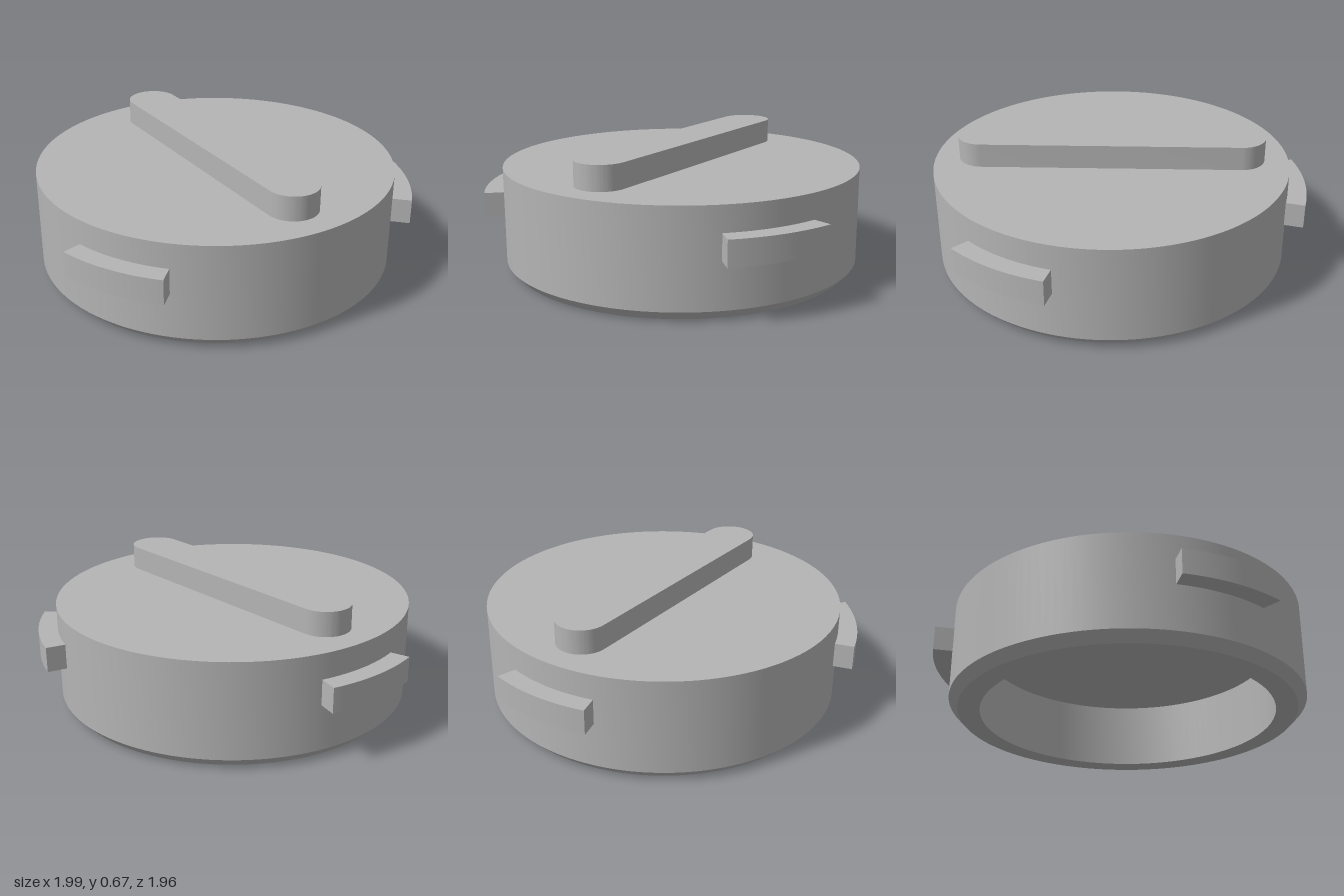
import * as THREE from 'three';
import { toCreasedNormals } from 'three/addons/utils/BufferGeometryUtils.js';

const R = 0.933, TOP = 0.545, CENTRE_Z = 0.047;

export function createModel() {
  const grey = new THREE.MeshStandardMaterial({ color: 0xb4b4b4 });
  grey.name = 'grey';
  const cap = new THREE.Group();
  cap.name = 'cap';
  cap.position.z = CENTRE_Z;

  const add = (name, geometry) => {
    const mesh = new THREE.Mesh(toCreasedNormals(geometry, 0.5), grey);
    mesh.name = name;
    cap.add(mesh);
    return mesh;
  };
  // Extrude a plan shape upwards from y0 to y1 (shape +y points to the back)
  const slab = (shape, y0, y1) =>
    new THREE.ExtrudeGeometry(shape, { depth: y1 - y0, bevelEnabled: false, curveSegments: 24 })
      .rotateX(-Math.PI / 2).translate(0, y0, 0);

  // Hollow body: recess ceiling, inner wall, rim, chamfer, outer wall, top
  const profile = [
    [0, 0.36], [0.772, 0.36], [0.772, 0], [0.886, 0], [R, 0.05], [R, TOP], [0, TOP],
  ].map(([x, y]) => new THREE.Vector2(x, y));
  add('body', new THREE.LatheGeometry(profile, 128));

  // Rounded grip bar across the top
  const r = 0.132, half = 0.807 - r;
  const bar = new THREE.Shape();
  bar.absarc(0, half, r, 0, Math.PI, false);
  bar.absarc(0, -half, r, Math.PI, Math.PI * 2, false);
  bar.closePath();
  add('gripBar', slab(bar, TOP - 0.005, 0.672));

  // Three curved bayonet lugs, 30 degrees wide each
  const a = Math.PI / 12;
  const lug = new THREE.Shape();
  lug.absarc(0, 0, 1.032, Math.PI / 2 - a, Math.PI / 2 + a, false);
  lug.absarc(0, 0, 0.92, Math.PI / 2 + a, Math.PI / 2 - a, true);
  lug.closePath();
  ['backLug', 'leftLug', 'rightLug'].forEach((name, i) => {
    add(name, slab(lug, 0.285, 0.415)).rotation.y = -i * Math.PI * 2 / 3;
  });

  const model = new THREE.Group();
  model.name = 'bayonetCap';
  model.add(cap);
  return model;
}
